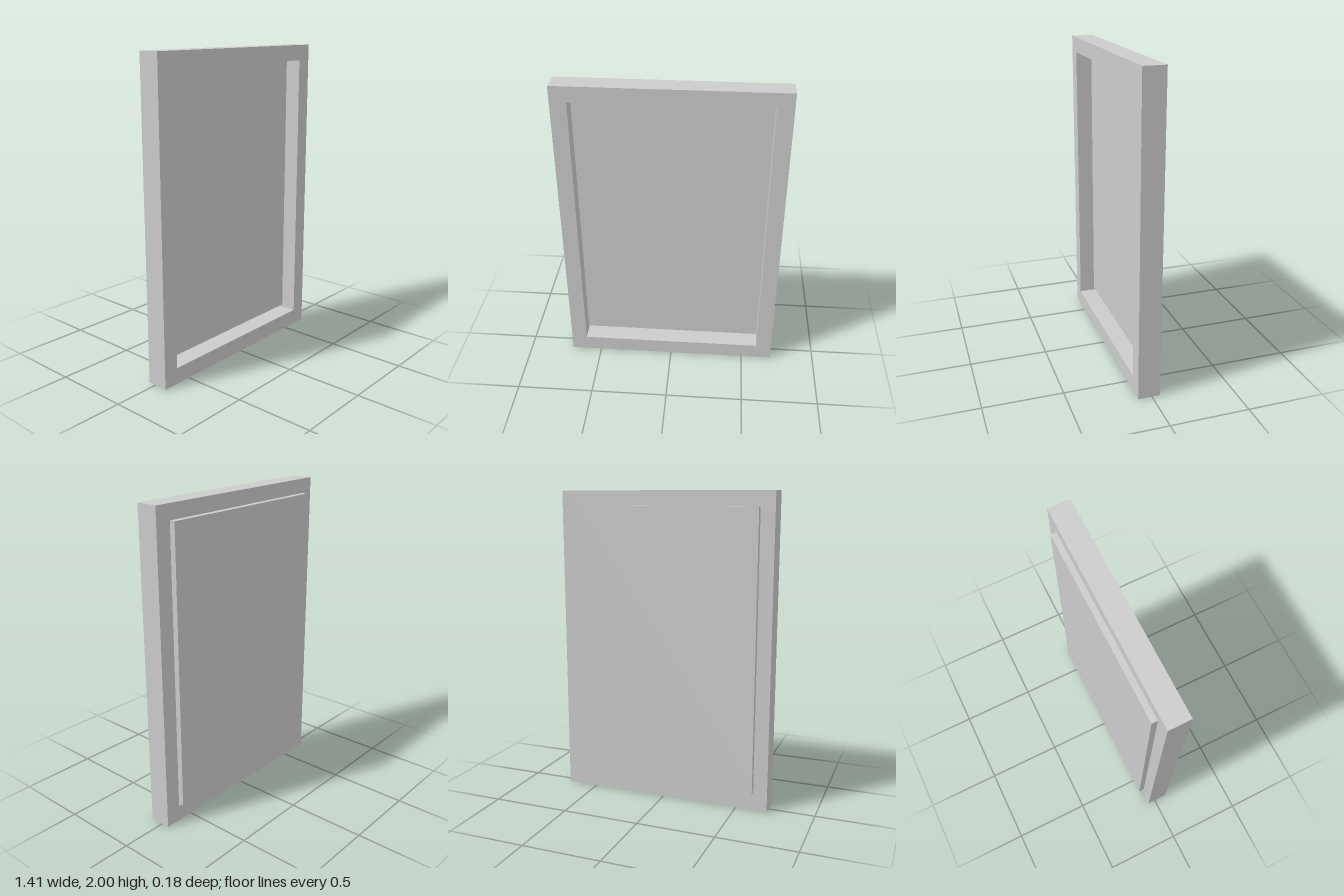
import * as THREE from 'three';

const material = new THREE.MeshStandardMaterial({ color: 0xcccccc, flatShading: true });

// Rectangle outline from its left, bottom, right and top edges
function rectangle(PathType, x0, y0, x1, y1) {
  return new PathType([[x0, y0], [x1, y0], [x1, y1], [x0, y1]].map(([x, y]) => new THREE.Vector2(x, y)));
}

// Flat slab standing in the xy plane between two depths
function slab(name, shape, back, front) {
  const geometry = new THREE.ExtrudeGeometry(shape, { depth: front - back, bevelEnabled: false });
  geometry.translate(0, 0, back);
  const mesh = new THREE.Mesh(geometry, material);
  mesh.name = name;
  return mesh;
}

export function createModel() {
  const group = new THREE.Group();
  group.name = 'framedPanel';

  // Square-edged border with a rectangular opening
  const border = rectangle(THREE.Shape, -0.703, 0, 0.703, 2);
  border.holes.push(rectangle(THREE.Path, -0.601, 0.104, 0.601, 1.9));
  group.add(slab('frame', border, -0.052, 0.088));

  // Backing panel, set slightly off centre: a thin gap stays open below it
  const backing = rectangle(THREE.Shape, -0.613, 0.12, 0.602, 1.906);
  group.add(slab('backPanel', backing, -0.088, -0.017));

  return group;
}
